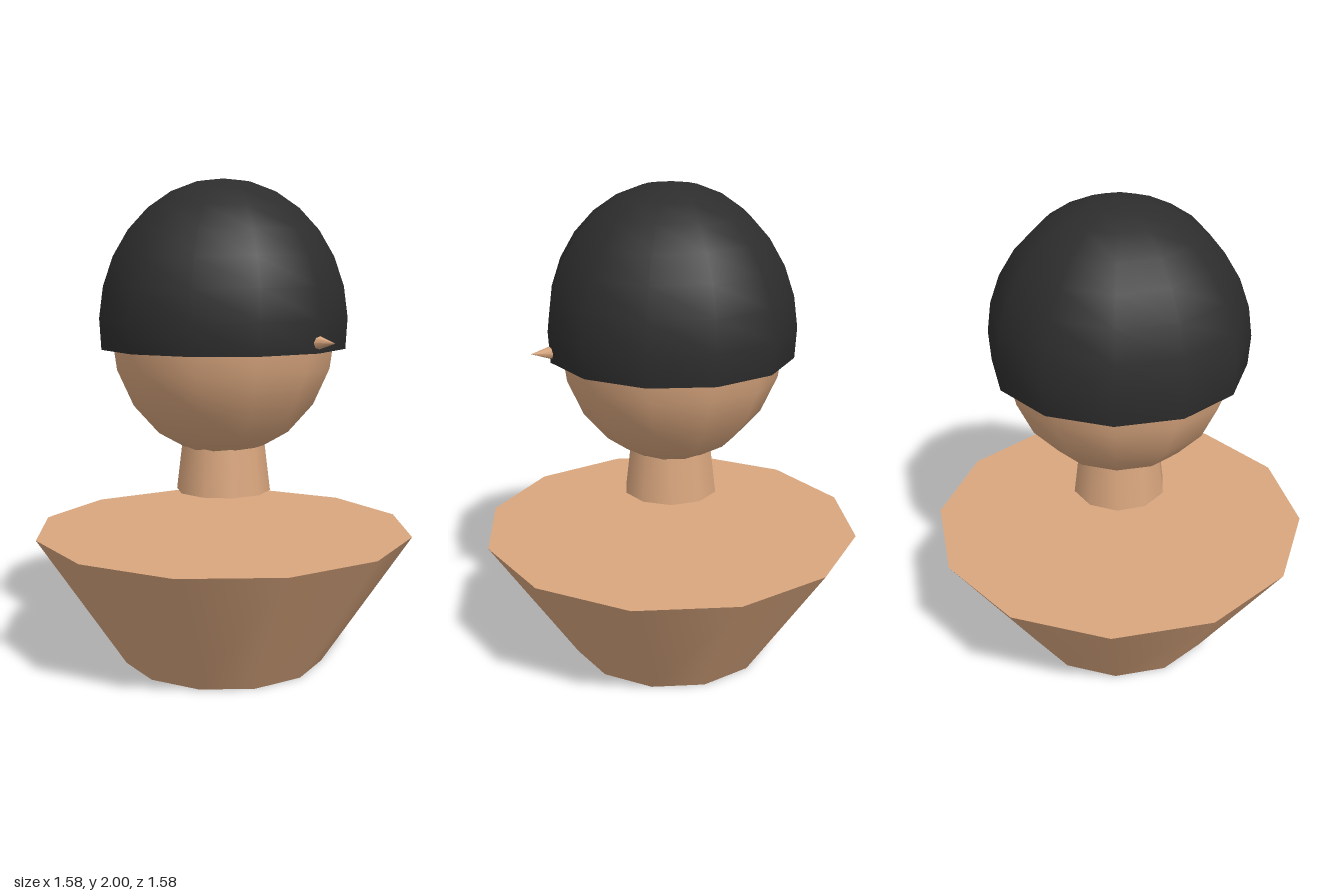
import * as THREE from 'three';

export function createModel() {
  const skin = new THREE.MeshStandardMaterial({ color: 0xd9a67e });
  skin.name = 'skin';
  const hairBlack = new THREE.MeshStandardMaterial({ color: 0x2d2d2d, side: THREE.DoubleSide });
  hairBlack.name = 'hairBlack';

  const model = new THREE.Group();
  model.name = 'bust';

  const add = (name, geometry, material, y, z = 0) => {
    const mesh = new THREE.Mesh(geometry, material);
    mesh.name = name;
    mesh.position.set(0, y, z);
    model.add(mesh);
    return mesh;
  };

  // Tapered torso, wide at the shoulders
  add('torso', new THREE.CylinderGeometry(0.79, 0.424, 0.555, 12), skin, 0.2775);

  // Neck floats above the torso and runs up into the head
  add('neck', new THREE.CylinderGeometry(0.163, 0.197, 0.28, 10), skin, 0.86);

  // Slightly egg-shaped head
  add('head', new THREE.SphereGeometry(1, 12, 10), skin, 1.4).scale.set(0.477, 0.53, 0.459);

  // Open cap of hair reaching just below the middle of the head
  const cap = new THREE.SphereGeometry(1, 12, 8, 0, Math.PI * 2, 0, Math.PI * 100 / 180);
  add('hair', cap, hairBlack, 1.419).scale.set(0.523, 0.581, 0.508);

  // Small pointed nose
  const cone = new THREE.ConeGeometry(0.034, 0.1, 8).rotateX(Math.PI / 2);
  add('nose', cone, skin, 1.36, 0.527);

  return model;
}
